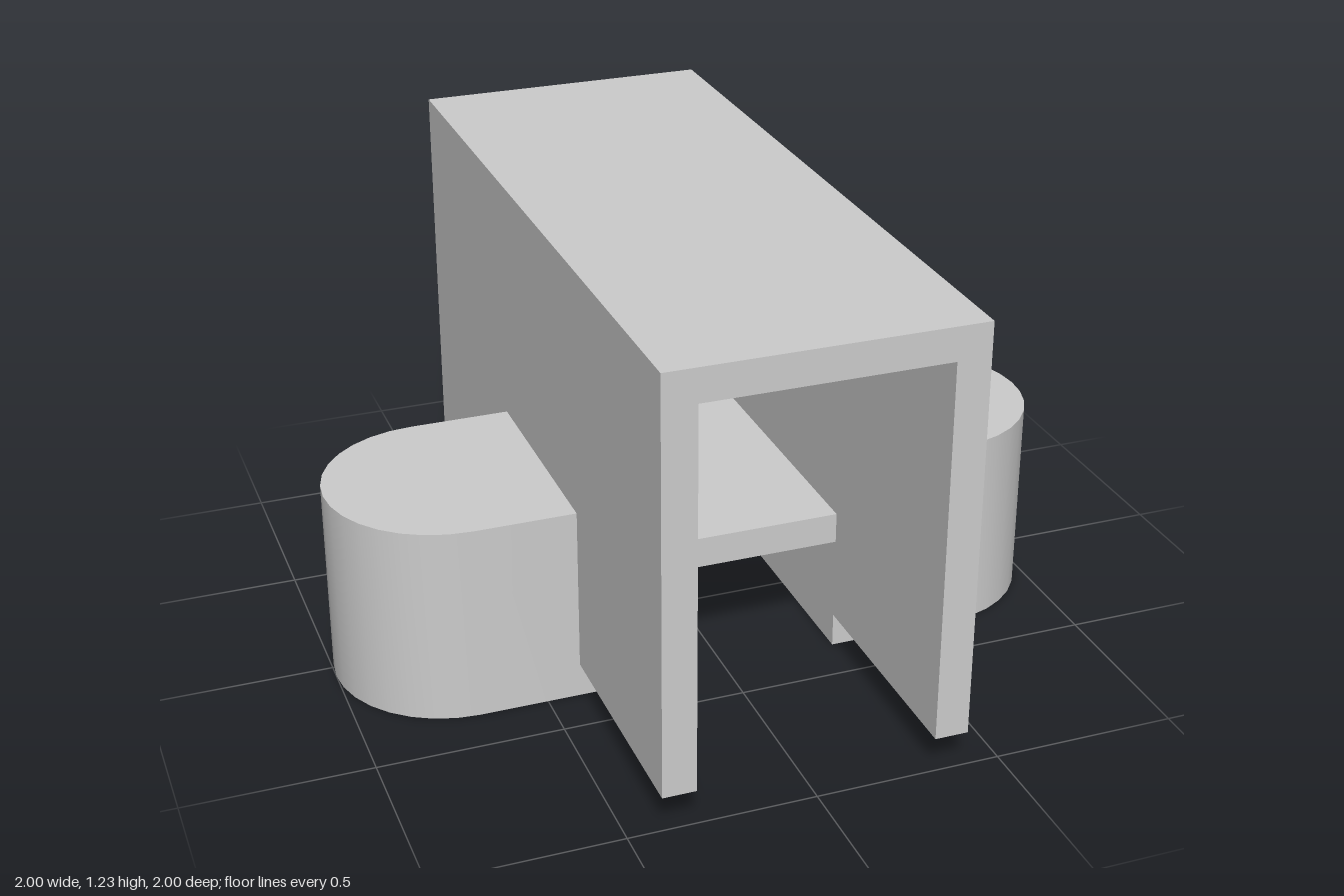
import * as THREE from 'three';
import { toCreasedNormals } from 'three/addons/utils/BufferGeometryUtils.js';

export function createModel() {
  const model = new THREE.Group();
  const grey = new THREE.MeshStandardMaterial({ color: 0xcccccc });
  grey.name = 'light grey';

  const T = 0.09;              // panel thickness
  const W = 0.41;              // half width outside
  const IN = W - T;            // half width inside
  const H = 1.23;              // overall height
  const STEP_Z = 0.36;         // where the wall underside steps up
  const BACK_Z = -0.92;        // inner face of the back wall

  function add(name, geometry) {
    const mesh = new THREE.Mesh(geometry, grey);
    mesh.name = name;
    model.add(mesh);
  }

  // Panel spanning between the side walls
  function panel(name, y0, y1, z0, z1) {
    const g = new THREE.BoxGeometry(2 * IN, y1 - y0, z1 - z0);
    g.translate(0, (y0 + y1) / 2, (z0 + z1) / 2);
    add(name, g);
  }
  panel('roof', H - T, H, -1, 1);
  panel('backWall', 0, H - T, -1, BACK_Z);
  panel('seat', 0.325, 0.41, BACK_Z, STEP_Z);

  // Side wall profile in (z, y), raised at the front
  const wall = new THREE.Shape([
    [-1, 0], [STEP_Z, 0], [STEP_Z, 0.095], [1, 0.095], [1, H], [-1, H],
  ].map(([z, y]) => new THREE.Vector2(z, y)));

  for (const side of [1, -1]) {
    const label = side > 0 ? 'left' : 'right';

    const wallGeo = new THREE.ExtrudeGeometry(wall, { depth: T, bevelEnabled: false });
    wallGeo.rotateY(-Math.PI / 2);
    wallGeo.translate(side > 0 ? W : -IN, 0, 0);
    add(label + 'Wall', wallGeo);

    // Round-ended side block
    const r = 0.315, cx = side * 0.685, cy = -0.045;
    const start = -side * Math.PI / 2;
    const plan = new THREE.Shape();
    plan.moveTo(side * W, cy - side * r);
    plan.lineTo(cx, cy - side * r);
    plan.absarc(cx, cy, r, start, start + Math.PI, false);
    plan.lineTo(side * W, cy + side * r);
    plan.closePath();
    const block = new THREE.ExtrudeGeometry(plan, {
      depth: 0.55, bevelEnabled: false, curveSegments: 8,
    });
    block.rotateX(-Math.PI / 2);
    add(label + 'SideBlock', toCreasedNormals(block, 0.6));
  }
  return model;
}
